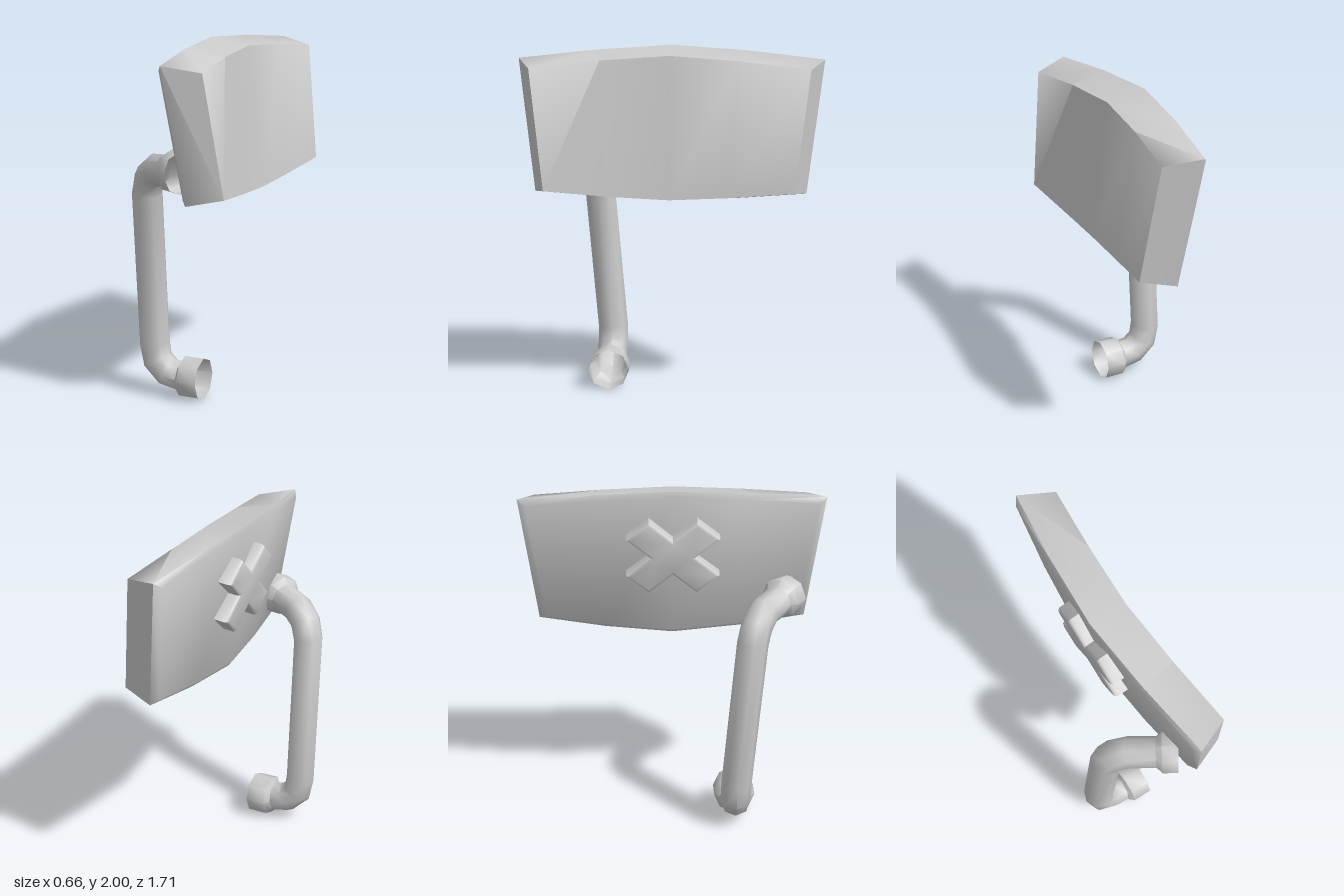
import * as THREE from 'three';
import { toCreasedNormals } from 'three/addons/utils/BufferGeometryUtils.js';

// Joins equal-length loops of points into a surface; caps are extra quads.
function loft(loops, caps, crease) {
  const n = loops[0].length, index = [];
  const quad = (a, b, c, d) => index.push(a, b, c, a, c, d);
  for (let k = 0; k < loops.length - 1; k++)
    for (let i = 0; i < n; i++) {
      const j = (i + 1) % n;
      quad(k * n + i, k * n + j, (k + 1) * n + j, (k + 1) * n + i);
    }
  caps.forEach((q) => quad(...q));
  const geo = new THREE.BufferGeometry();
  geo.setAttribute('position', new THREE.Float32BufferAttribute(loops.flat().flatMap((p) => p.toArray()), 3));
  geo.setIndex(index);
  return toCreasedNormals(geo, crease);
}

// Bowed, tilted panel: back face, widest rim, inset front face.
function panelGeometry() {
  const cols = 5;
  const layers = [
    { x: -0.059, bow: 0.067, zTop: 0.81, zBot: 0.715, top: [1.97, 1.90], bot: [1.15, 1.215] },
    { x: -0.05, bow: 0.09, zTop: 0.853, zBot: 0.76, top: [2.0, 1.932], bot: [1.132, 1.195] },
    { x: 0.17, bow: 0.063, zTop: 0.77, zBot: 0.69, top: [1.96, 1.895], bot: [1.175, 1.23] },
  ];
  const loops = layers.map((l) => {
    const point = (s, half, [mid, end]) => {
      const t = Math.abs(s) ** 1.4;
      const y = mid + (end - mid) * t;
      return new THREE.Vector3(l.x + l.bow * t + 0.127 * (2 - y), y, s * half);
    };
    const loop = [];
    for (let i = 0; i < cols; i++) loop.push(point((2 * i) / (cols - 1) - 1, l.zTop, l.top));
    for (let i = cols - 1; i >= 0; i--) loop.push(point((2 * i) / (cols - 1) - 1, l.zBot, l.bot));
    return loop;
  });
  const caps = [], n = cols * 2, f = n * 2;
  for (let i = 0; i < cols - 1; i++) {
    const a = i, b = i + 1, c = n - 2 - i, d = n - 1 - i;
    caps.push([d, c, b, a], [f + a, f + b, f + c, f + d]);
  }
  return loft(loops, caps, 1.25);
}

// Eight-sided tube along [x, y, z, radius] stations, open at both ends.
function pipeGeometry(stations) {
  const pts = stations.map((s) => new THREE.Vector3(s[0], s[1], s[2]));
  const loops = pts.map((p, k) => {
    const t = new THREE.Vector3();
    if (k > 0) t.add(p.clone().sub(pts[k - 1]).normalize());
    if (k < pts.length - 1) t.add(pts[k + 1].clone().sub(p).normalize());
    t.normalize();
    const u = new THREE.Vector3(0, 0, 1).addScaledVector(t, -t.z).normalize();
    const v = t.clone().cross(u);
    return Array.from({ length: 8 }, (_, i) => {
      const a = (i * Math.PI) / 4, r = stations[k][3];
      return p.clone().addScaledVector(u, r * Math.cos(a)).addScaledVector(v, r * Math.sin(a));
    });
  });
  return loft(loops, [], 0.9);
}

// Diagonal cross plate with softened edges, facing -x.
function crossGeometry() {
  const L = 0.232, h = 0.075;
  const outline = [];
  for (let k = 0; k < 4; k++) {
    const a = Math.PI / 4 + (k * Math.PI) / 2;
    for (const [x, y] of [[L, -h], [L, h], [h, h]])
      outline.push(new THREE.Vector2(
        1.2 * (x * Math.cos(a) - y * Math.sin(a)),
        x * Math.sin(a) + y * Math.cos(a)));
  }
  const geo = new THREE.ExtrudeGeometry(new THREE.Shape(outline), {
    depth: 0.08, bevelThickness: 0.02, bevelSize: 0.02, bevelOffset: -0.02, bevelSegments: 2,
  });
  return toCreasedNormals(geo.rotateY(-Math.PI / 2).rotateZ(0.11), 0.8);
}

export function createModel() {
  const model = new THREE.Group();
  const grey = new THREE.MeshStandardMaterial({ color: 0xcccccc });
  const openGrey = new THREE.MeshStandardMaterial({ color: 0xcccccc, side: THREE.DoubleSide });
  const add = (name, geo, mat) => {
    const mesh = new THREE.Mesh(geo, mat);
    mesh.name = name;
    model.add(mesh);
    return mesh;
  };

  add('panel', panelGeometry(), grey);
  add('backCross', crossGeometry(), grey).position.set(0.022, 1.635, 0);

  // Arm: lower socket, bend, upright, bend, upper socket against the panel
  const r = 0.088, R = 0.12;
  add('supportArm', pipeGeometry([
    [0.065, 0.12, 0.365, R],
    [-0.05, 0.12, 0.365, R],
    [-0.075, 0.12, 0.365, r],
    [-0.155, 0.135, 0.365, r],
    [-0.222, 0.2, 0.363, r],
    [-0.24, 0.3, 0.363, r],
    [-0.24, 1.18, 0.437, r],
    [-0.21, 1.275, 0.46, r],
    [-0.14, 1.33, 0.505, r],
    [-0.015, 1.342, 0.59, r],
    [0.01, 1.346, 0.607, R],
    [0.08, 1.348, 0.653, R],
  ]), openGrey);

  return model;
}
